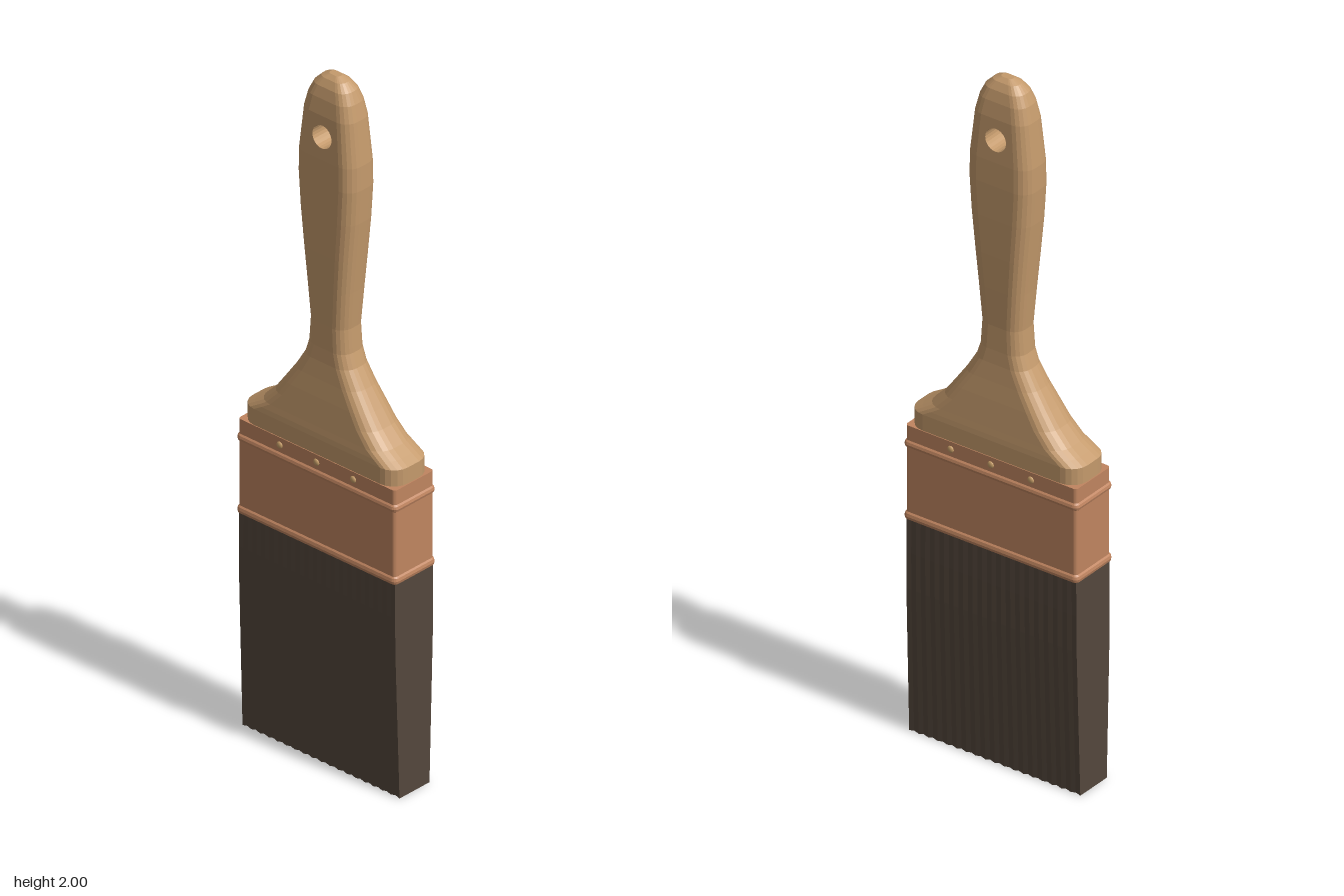
import * as THREE from 'three';
import { mergeGeometries } from 'three/addons/utils/BufferGeometryUtils.js';

const CORNER = 5; // segments in each rounded corner

// Rounded rectangle outline at height y: half width hx, half depth hz, corner radius r
function ring([y, hx, hz, r]) {
  const points = [];
  [[1, 1], [-1, 1], [-1, -1], [1, -1]].forEach(([sx, sz], corner) => {
    for (let i = 0; i <= CORNER; i++) {
      const a = (corner + i / CORNER) * Math.PI / 2;
      points.push([sx * (hx - r) + r * Math.cos(a), y, sz * (hz - r) + r * Math.sin(a)]);
    }
  });
  return points;
}

// Faceted loft through the rows; skip(row, side) leaves a face open
function loft(rows, skip = () => false) {
  const rings = rows.map(ring), n = rings[0].length, v = [];
  const tri = (a, b, c) => v.push(...a, ...b, ...c);
  for (let j = 0; j < rings.length - 1; j++) {
    for (let i = 0; i < n; i++) {
      if (skip(j, i)) continue;
      const k = (i + 1) % n, lo = rings[j], hi = rings[j + 1];
      tri(lo[i], hi[i], lo[k]);
      tri(hi[i], hi[k], lo[k]);
    }
  }
  const last = rings.length - 1;
  for (let i = 0; i < n; i++) {
    const k = (i + 1) % n;
    tri([0, rows[0][0], 0], rings[0][i], rings[0][k]);
    tri([0, rows[last][0], 0], rings[last][k], rings[last][i]);
  }
  const geo = new THREE.BufferGeometry();
  geo.setAttribute('position', new THREE.Float32BufferAttribute(v, 3));
  geo.computeVertexNormals();
  return geo;
}

// Apply a rule to every vertex, then facet the result
function reshape(source, rule) {
  const geo = source.index ? source.toNonIndexed() : source;
  const p = geo.attributes.position, v = new THREE.Vector3();
  for (let i = 0; i < p.count; i++) {
    rule(v.fromBufferAttribute(p, i));
    p.setXYZ(i, v.x, v.y, v.z);
  }
  geo.computeVertexNormals();
  return geo;
}

function material(name, color) {
  const m = new THREE.MeshStandardMaterial({ color });
  m.name = name;
  return m;
}

export function createModel() {
  const wood = material('wood', 0xc49a6c);
  const copper = material('copper', 0xc08560);
  const bristle = material('darkBristle', 0x54473c);
  const brass = material('brass', 0xc9a06a);

  const model = new THREE.Group();
  model.name = 'paintbrush';
  const add = (parent, name, geo, mat) => {
    const mesh = new THREE.Mesh(geo, mat);
    mesh.name = name;
    parent.add(mesh);
    return mesh;
  };

  // Handle: height, half width, half depth, corner radius
  const rows = [
    [0.90, 0.268, 0.071, 0.05], [0.957, 0.268, 0.071, 0.05],
    [0.972, 0.243, 0.07, 0.05], [0.99, 0.215, 0.068, 0.05],
    [1.03, 0.176, 0.064, 0.048], [1.07, 0.147, 0.06, 0.045],
    [1.12, 0.112, 0.054, 0.042], [1.17, 0.082, 0.049, 0.038],
    [1.21, 0.069, 0.047, 0.036], [1.28, 0.064, 0.046, 0.035],
    [1.39, 0.073, 0.05, 0.036], [1.49, 0.083, 0.053, 0.038],
    [1.60, 0.094, 0.055, 0.04], [1.70, 0.1, 0.056, 0.04],
    [1.77, 0.099, 0.055, 0.04], [1.895, 0.085, 0.05, 0.037],
    [1.94, 0.074, 0.044, 0.034], [1.97, 0.06, 0.036, 0.03],
    [1.99, 0.04, 0.024, 0.021], [2.0, 0.018, 0.011, 0.01],
  ];
  const holeRow = 14, holeY = 1.835, holeR = 0.033;
  const frontSide = CORNER, backSide = 3 * CORNER + 2;
  const handle = new THREE.Group();
  handle.name = 'handle';
  model.add(handle);
  add(handle, 'handleBody',
    loft(rows, (j, i) => j === holeRow && (i === frontSide || i === backSide)), wood);

  // Flat faces around the hanging hole, following the handle's taper
  const [y0, x0, z0, r0] = rows[holeRow], [y1, x1, z1, r1] = rows[holeRow + 1];
  const depthAt = (y) => z0 + (z1 - z0) * (y - y0) / (y1 - y0);
  const face = new THREE.Shape([
    new THREE.Vector2(r0 - x0, y0), new THREE.Vector2(x0 - r0, y0),
    new THREE.Vector2(x1 - r1, y1), new THREE.Vector2(r1 - x1, y1),
  ]);
  face.holes.push(new THREE.Path().absarc(0, holeY, holeR, 0, Math.PI * 2, true));
  const front = reshape(new THREE.ShapeGeometry(face, 12), (v) => { v.z = depthAt(v.y); });
  add(handle, 'holeFaces', mergeGeometries([front, front.clone().rotateY(Math.PI)]), wood);

  // Hole wall, turned inside out
  const wall = new THREE.CylinderGeometry(holeR, holeR, 2, 24, 1, true)
    .rotateX(Math.PI / 2).scale(-1, 1, 1).translate(0, holeY, 0);
  add(handle, 'holeWall', reshape(wall, (v) => { v.z = Math.sign(v.z) * depthAt(v.y); }), wood);

  // Ferrule: height and outward swell, with two raised beads
  const band = [
    [0.633, 0], [0.636, 0.004], [0.644, 0.006], [0.652, 0.004], [0.656, 0],
    [0.846, 0], [0.849, 0.004], [0.856, 0.006], [0.863, 0.004], [0.867, 0], [0.91, 0],
  ];
  add(model, 'ferrule', loft(band.map(([y, s]) => [y, 0.271 + s, 0.073 + s, 0.01 + s])), copper);

  // Nails on both faces
  for (const side of [-1, 1]) {
    for (const x of [-0.127, 0, 0.127]) {
      const nail = add(model, 'nail', new THREE.SphereGeometry(0.01, 12, 8), brass);
      nail.scale.z = 0.5;
      nail.position.set(x, 0.888, side * 0.073);
    }
  }

  // Bristles: finely grooved block, thinner toward the tip
  const columns = 36, width = 0.538, height = 0.64;
  const block = new THREE.BoxGeometry(width, height, 2, columns, 6, 1).translate(0, height / 2, 0);
  add(model, 'bristles', reshape(block, (v) => {
    const odd = Math.round((v.x / width + 0.5) * columns) % 2;
    const t = Math.max(0, 1 - v.y / 0.45);
    v.z = Math.sign(v.z) * (0.0705 - 0.0145 * t - 0.0008 * odd);
    v.x *= 1 + 0.008 * (1 - v.y / height);
    if (v.y < 0.001) v.y = odd * 0.004;
  }), bristle);

  return model;
}
